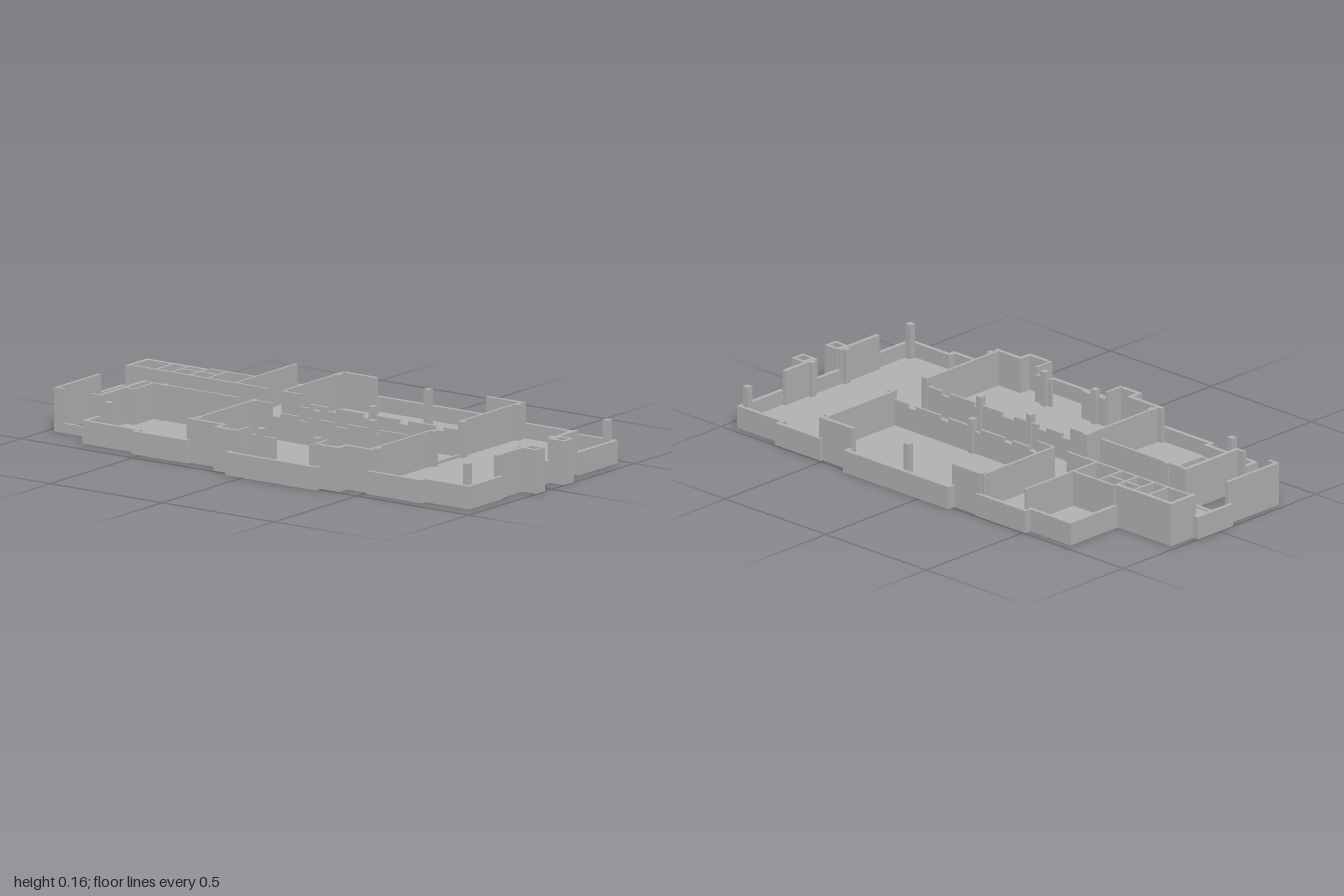
import * as THREE from 'three';

const LOW = 0.085, MID = 0.13, TALL = 0.162, FLOOR = 0.03;

export function createModel() {
  const model = new THREE.Group();
  const grey = new THREE.MeshStandardMaterial({ color: 0xb2b2b2 });
  grey.name = 'plaster grey';

  // Box given by its plan rectangle and its bottom and top heights
  function block(name, x0, x1, z0, z1, top, bottom = 0) {
    const mesh = new THREE.Mesh(new THREE.BoxGeometry(x1 - x0, top - bottom, z1 - z0), grey);
    mesh.position.set((x0 + x1) / 2, (top + bottom) / 2, (z0 + z1) / 2);
    mesh.name = name;
    model.add(mesh);
  }
  const T = 0.01;
  const wallX = (name, x0, x1, z, h) => block(name, x0, x1, z - T / 2, z + T / 2, h, 0.01);
  const wallZ = (name, x, z0, z1, h) => block(name, x - T / 2, x + T / 2, z0, z1, h, 0.01);

  // Building outline, clockwise in plan: x, z, height of the wall that follows
  const outline = [
    [-0.71, -0.47, LOW], [-0.51, -0.47, LOW], [-0.51, -0.495, LOW], [-0.26, -0.495, LOW],
    [-0.26, -0.485, TALL], [-0.15, -0.485, LOW], [-0.15, -0.518, LOW], [0.375, -0.518, LOW],
    [0.375, -0.485, TALL], [0.51, -0.485, LOW], [0.51, -0.495, LOW], [0.735, -0.495, LOW],
    [0.735, -0.47, LOW], [0.95, -0.47, LOW], [0.95, -0.23, LOW], [0.938, -0.23, TALL],
    [0.938, -0.08, LOW], [0.938, 0.04, TALL], [0.938, 0.225, LOW], [0.95, 0.225, LOW],
    [0.95, 0.43, LOW], [0.755, 0.43, LOW], [0.755, 0.455, LOW], [0.51, 0.455, LOW],
    [0.51, 0.44, TALL], [0.41, 0.44, TALL], [0.41, 0.487, TALL], [0.33, 0.487, LOW],
    [0.33, 0.518, LOW], [-0.075, 0.518, LOW], [-0.075, 0.487, TALL], [-0.15, 0.487, TALL],
    [-0.15, 0.44, TALL], [-0.29, 0.44, LOW], [-0.29, 0.455, LOW], [-0.54, 0.455, LOW],
    [-0.54, 0.43, LOW], [-0.78, 0.43, LOW], [-0.78, 0.335, TALL], [-0.78, 0.07, 0.035],
    [-1, 0.07, LOW], [-1, -0.11, LOW], [-0.975, -0.11, TALL], [-0.975, -0.225, TALL],
    [-0.71, -0.225, LOW],
  ];

  // Floor slab
  const plan = new THREE.Shape(outline.map(([x, z]) => new THREE.Vector2(x, -z)));
  const slab = new THREE.Mesh(
    new THREE.ExtrudeGeometry(plan, { depth: FLOOR, bevelEnabled: false }).rotateX(-Math.PI / 2), grey);
  slab.name = 'floorSlab';
  model.add(slab);

  // Outer walls run just inside the outline and close up at inner corners
  const n = outline.length, W = 0.016;
  const dir = i => {
    const a = outline[(i + n) % n], b = outline[(i + 1 + n) % n];
    return [Math.sign(b[0] - a[0]), Math.sign(b[1] - a[1])];
  };
  const isInner = (p, q) => p[0] * q[1] - p[1] * q[0] < 0;
  for (let i = 0; i < n; i++) {
    const [ax, az, h] = outline[i], [bx, bz] = outline[(i + 1) % n], d = dir(i);
    const s = isInner(dir(i - 1), d) ? W : 0, e = isInner(d, dir(i + 1)) ? W : 0;
    const xs = [ax - d[0] * s, bx + d[0] * e, ax - d[1] * W];
    const zs = [az - d[1] * s, bz + d[1] * e, az + d[0] * W];
    block('outerWall', Math.min(...xs), Math.max(...xs), Math.min(...zs), Math.max(...zs), h);
  }

  // Corridor walls, with door gaps and stepped tops
  wallX('corridorBackWall', -0.975, -0.35, -0.11, TALL);
  wallX('corridorFrontWall', -0.78, -0.35, 0.065, TALL);
  for (const z of [-0.11, 0.065]) {
    wallX('corridorWall', -0.28, -0.2, z, TALL);
    wallX('corridorWall', -0.2, 0.51, z, 0.115);
    for (const [a, b] of [[-0.16, -0.08], [-0.04, 0.08], [0.14, 0.24], [0.28, 0.4], [0.44, 0.51]])
      wallX('corridorWallStep', a, b, z, MID);
  }
  wallZ('corridorThreshold', -0.44, -0.11, 0.065, 0.045);
  wallZ('hallThreshold', 0.51, -0.11, 0.065, 0.04);

  // Cross walls between the large rooms
  for (const x of [-0.283, 0.51]) {
    wallZ('crossWallBack', x, -0.48, -0.11, TALL);
    wallZ('crossWallFront', x, 0.065, 0.44, TALL);
  }
  wallZ('sideRoomWall', -0.495, -0.48, -0.11, TALL);
  wallX('sideRoomWall', -0.7, -0.495, -0.232, TALL);

  // Small rooms and closet
  wallZ('smallRoomWall', -0.85, -0.22, -0.11, TALL);
  wallZ('smallRoomWall', -0.78, -0.22, -0.11, TALL);
  wallZ('smallRoomWall', -0.7, -0.225, -0.11, TALL);
  wallZ('smallRoomWall', -0.62, -0.23, -0.11, TALL);
  wallX('smallRoomWall', -0.78, -0.62, -0.175, TALL);
  wallZ('closetWall', -0.73, 0.065, 0.185, TALL);
  wallX('closetWall', -0.78, -0.73, 0.185, TALL);

  // Entrance bay
  wallZ('baySideWall', -0.05, 0.405, 0.485, TALL);
  wallZ('baySideWall', 0.3, 0.405, 0.485, TALL);
  wallX('bayInnerWall', -0.05, 0.07, 0.405, 0.135);
  wallX('bayInnerWall', 0.22, 0.3, 0.405, 0.135);

  // Open yard without a floor, with a wide opening at the front
  block('yardSideWall', -0.975, -0.962, 0.07, 0.335, TALL);
  block('yardSill', -0.975, -0.78, 0.325, 0.337, 0.035);
  block('yardPost', -0.975, -0.93, 0.325, 0.337, TALL);
  block('yardPost', -0.81, -0.765, 0.325, 0.337, TALL);

  // Hollow shafts beside the end entrance
  for (const [z0, z1] of [[-0.137, -0.078], [0.036, 0.092]]) {
    block('shaftBase', 0.938, 0.998, z0, z1, FLOOR);
    for (const x of [0.935, 0.986]) block('shaftWall', x, x + 0.012, z0, z1, TALL);
    for (const z of [z0, z1 - 0.012]) block('shaftWall', 0.935, 0.998, z, z + 0.012, TALL);
  }

  // Columns
  const columns = {
    '-0.445': [-0.28, 0.12, 0.52, 0.92],
    '-0.112': [0.12, 0.52, 0.92],
    '0.065': [-0.68, -0.28, 0, 0.25, 0.52, 0.92],
    '0.4': [-0.68, -0.28, 0, 0.25, 0.52, 0.92],
  };
  for (const [key, xs] of Object.entries(columns)) {
    const z = Number(key);
    for (const x of xs) block('column', x - 0.012, x + 0.012, z - 0.012, z + 0.012, TALL, 0.01);
  }
  return model;
}
